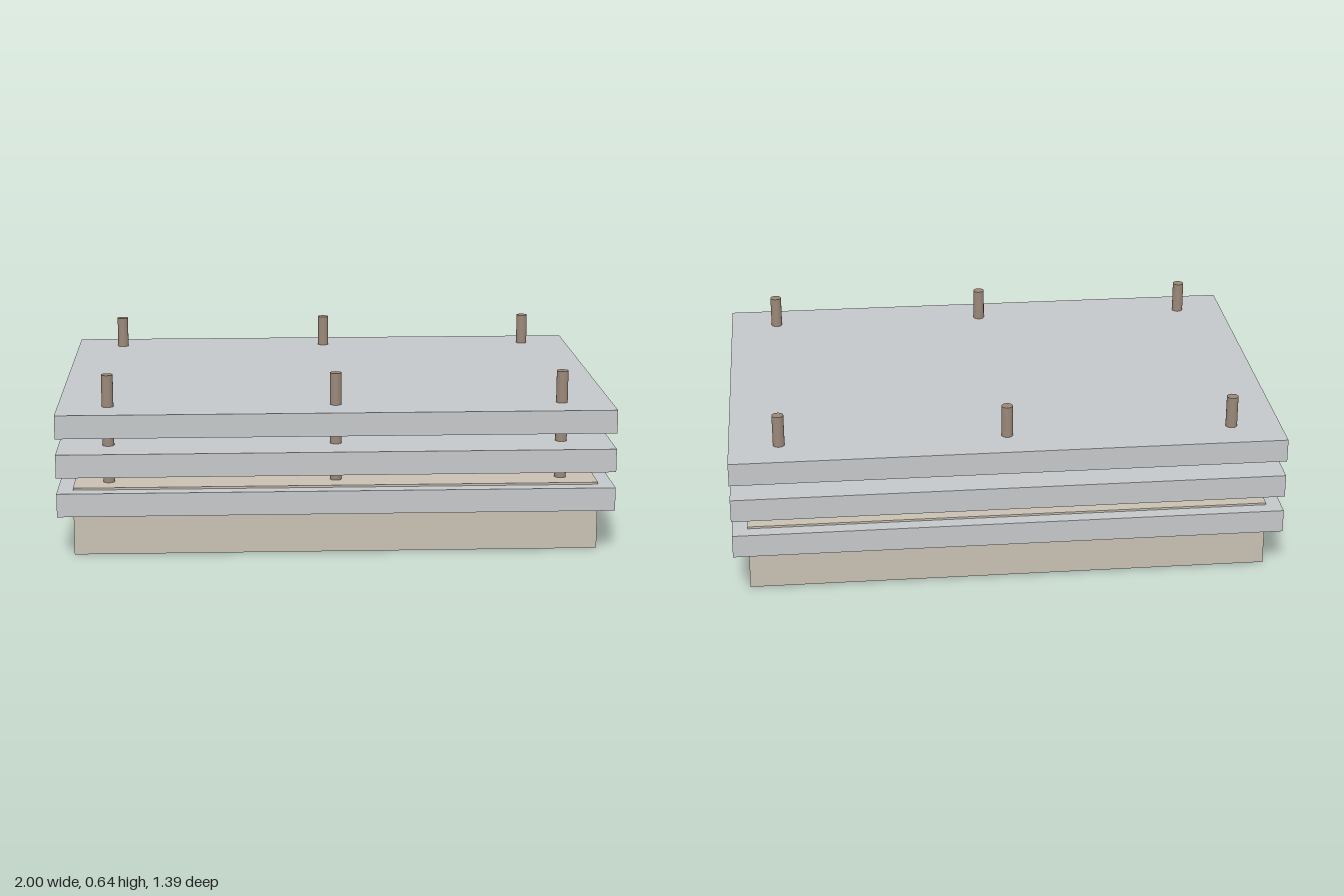
import * as THREE from 'three';

export function createModel() {
  const model = new THREE.Group();
  const plateMat = new THREE.MeshStandardMaterial({ color: 0xc4c7c9 });
  const baseMat = new THREE.MeshStandardMaterial({ color: 0xc8c0b2 });
  const postMat = new THREE.MeshStandardMaterial({ color: 0x9a8878 });

  const add = (name, geometry, material, x, y, z) => {
    const mesh = new THREE.Mesh(geometry, material);
    mesh.name = name;
    mesh.position.set(x, y, z);
    model.add(mesh);
  };

  // Base block, its top rising just above the lowest plate
  const baseBottom = 0.003, baseTop = 0.25;
  add('base', new THREE.BoxGeometry(1.89, baseTop - baseBottom, 1.29), baseMat,
    0, (baseBottom + baseTop) / 2, 0);

  // Three stacked plates
  const plateGeo = new THREE.BoxGeometry(2, 0.085, 1.394);
  ['lowerPlate', 'middlePlate', 'upperPlate'].forEach((name, i) =>
    add(name, plateGeo, plateMat, 0, 0.2 + i * 0.143, 0));

  // Six round posts running through the whole stack
  const postHeight = 0.645;
  const postGeo = new THREE.CylinderGeometry(0.021, 0.021, postHeight, 24);
  for (const [side, z] of [['front', 0.555], ['back', -0.555]]) {
    for (const [place, x] of [['Left', 0.82], ['Middle', 0], ['Right', -0.82]]) {
      add(`${side}${place}Post`, postGeo, postMat, x, postHeight / 2, z);
    }
  }
  return model;
}
